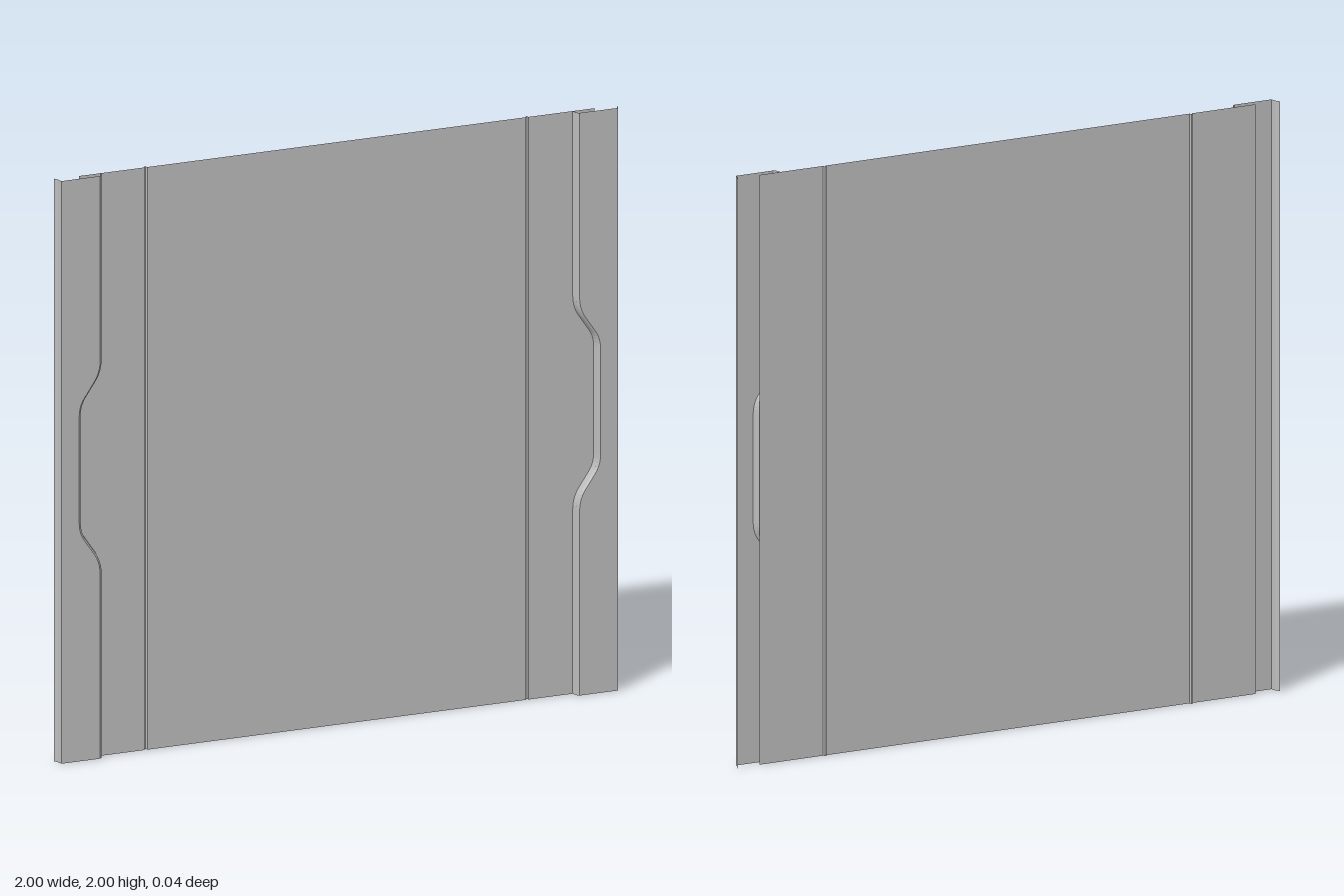
import * as THREE from 'three';

const steel = new THREE.MeshStandardMaterial({ color: 0xbdbdbd, side: THREE.DoubleSide });
steel.name = 'grey steel';

// Flat-shaded sheet joining successive rows of [x, y, z] points
function sheet(name, rows, flip) {
  const pos = [];
  for (let i = 0; i < rows.length - 1; i++) {
    for (let j = 0; j < rows[i].length - 1; j++) {
      const a = rows[i][j], b = rows[i][j + 1], c = rows[i + 1][j + 1], d = rows[i + 1][j];
      const tris = flip ? [a, c, b, a, d, c] : [a, b, c, a, c, d];
      tris.forEach(p => pos.push(...p));
    }
  }
  const geo = new THREE.BufferGeometry();
  geo.setAttribute('position', new THREE.Float32BufferAttribute(pos, 3));
  geo.computeVertexNormals();
  const mesh = new THREE.Mesh(geo, steel);
  mesh.name = name;
  return mesh;
}

// Inner outline of a side cover: straight, stepping outward around the middle
function coverOutline() {
  const lower = [[0.838, 0]];
  const round = (p0, p1, p2) => {
    const curve = new THREE.QuadraticBezierCurve(
      new THREE.Vector2(...p0), new THREE.Vector2(...p1), new THREE.Vector2(...p2));
    curve.getPoints(5).forEach(p => lower.push([p.x, p.y]));
  };
  round([0.838, 0.635], [0.838, 0.67], [0.856, 0.70]);
  round([0.892, 0.753], [0.912, 0.78], [0.912, 0.815]);
  return [...lower, ...lower.map(([x, y]) => [x, 2 - y]).reverse()];
}

export function createModel() {
  const group = new THREE.Group();
  group.name = 'wallPanel';
  const panelZ = -0.009, frontZ = 0.018, backZ = -0.018;

  // Main sheet with two narrow folded ribs standing out at the back
  const half = [[0.672, panelZ], [0.674, backZ], [0.679, backZ], [0.681, panelZ], [0.915, panelZ]];
  const profile = [...half.map(([x, z]) => [-x, z]).reverse(), ...half];
  group.add(sheet('mainSheet', [0, 2].map(y => profile.map(([x, z]) => [x, y, z])), false));

  // Raised side covers: bevelled inner wall, front face and folded outer flange
  const outline = coverOutline();
  for (const side of [1, -1]) {
    const rows = outline.map(([x, y]) => [
      [x, panelZ], [x + 0.005, 0.011], [x + 0.013, frontZ],
      [0.988, frontZ], [0.992, 0], [1, backZ + 0.003], [1, backZ],
    ].map(([px, z]) => [side * px, y, z]));
    group.add(sheet(side > 0 ? 'leftCover' : 'rightCover', rows, side < 0));
  }
  return group;
}
